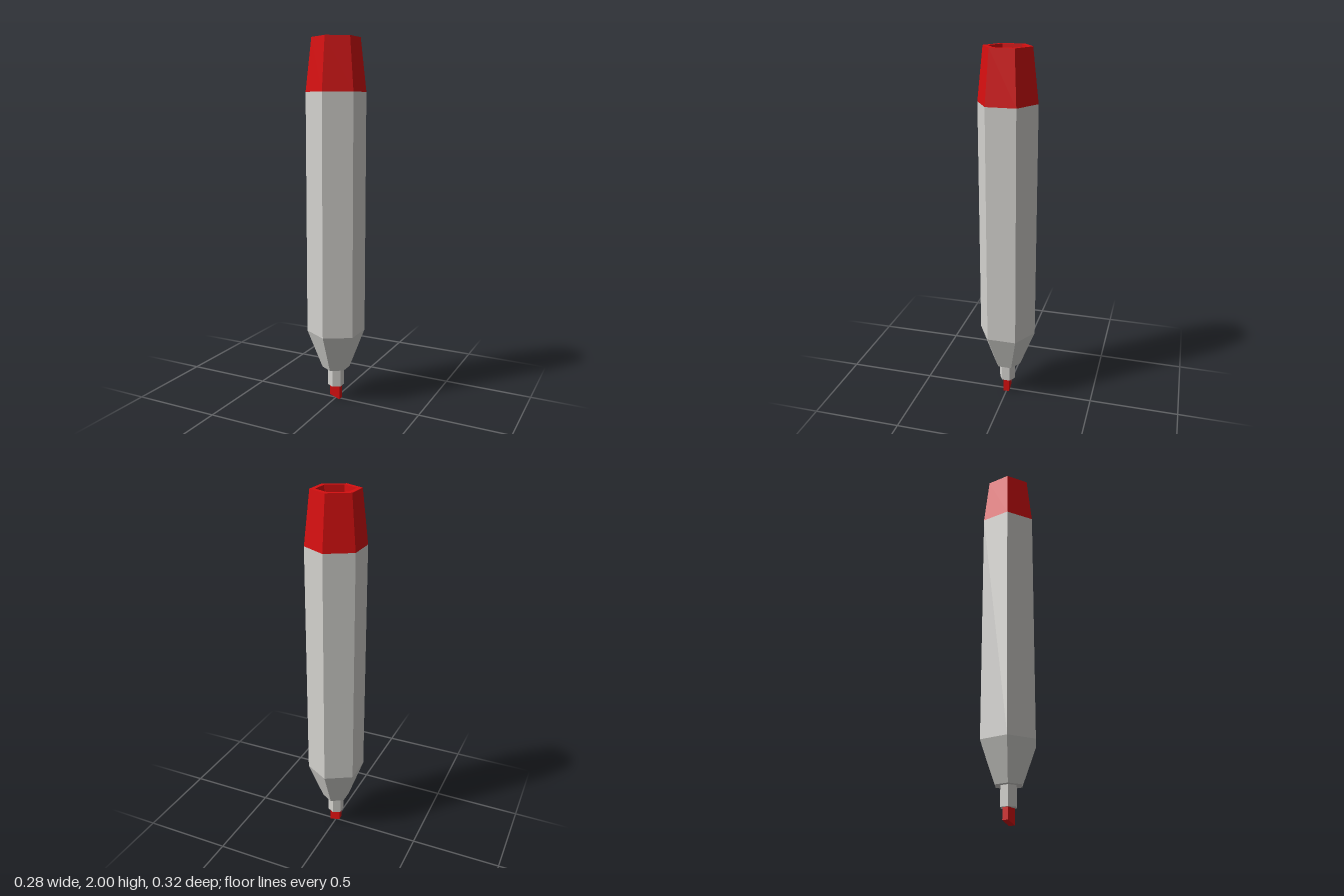
import * as THREE from 'three';

const red = new THREE.MeshStandardMaterial({ color: 0xd60f10 });
red.name = 'red ink';
const grey = new THREE.MeshStandardMaterial({ color: 0xd4d3cf });
grey.name = 'grey barrel';

// Gives every face its own flat normal
function faceted(geometry) {
  const flat = geometry.toNonIndexed();
  flat.computeVertexNormals();
  return flat;
}

// Six-sided part from a [radius, height] profile, with corners on the z axis
function hexPart(name, profile, material) {
  const points = profile.map(([r, y]) => new THREE.Vector2(r, y));
  const mesh = new THREE.Mesh(faceted(new THREE.LatheGeometry(points, 6)), material);
  mesh.name = name;
  return mesh;
}

export function createModel() {
  const group = new THREE.Group();
  group.name = 'marker pen';

  // Barrel with tapered shoulder
  group.add(hexPart('barrel', [[0, 0.188], [0.077, 0.188], [0.161, 0.405], [0.161, 1.72]], grey));

  // Collar that holds the nib
  group.add(hexPart('collar', [[0, 0.082], [0.046, 0.082], [0.046, 0.19]], grey));

  // Tapered end plug with a recess in its top
  group.add(hexPart('endPlug',
    [[0.161, 1.72], [0.129, 2], [0.101, 2], [0.091, 1.78], [0, 1.78]], red));

  // Chisel nib: a thin block with a slanted lower edge
  const nibShape = new THREE.Shape([
    [-0.03, 0.02], [0.03, 0], [0.03, 0.09], [-0.03, 0.09],
  ].map(([x, y]) => new THREE.Vector2(x, y)));
  const nib = new THREE.Mesh(
    new THREE.ExtrudeGeometry(nibShape, { depth: 0.034, bevelEnabled: false }), red);
  nib.position.z = -0.017;
  nib.name = 'nib';
  group.add(nib);

  return group;
}
